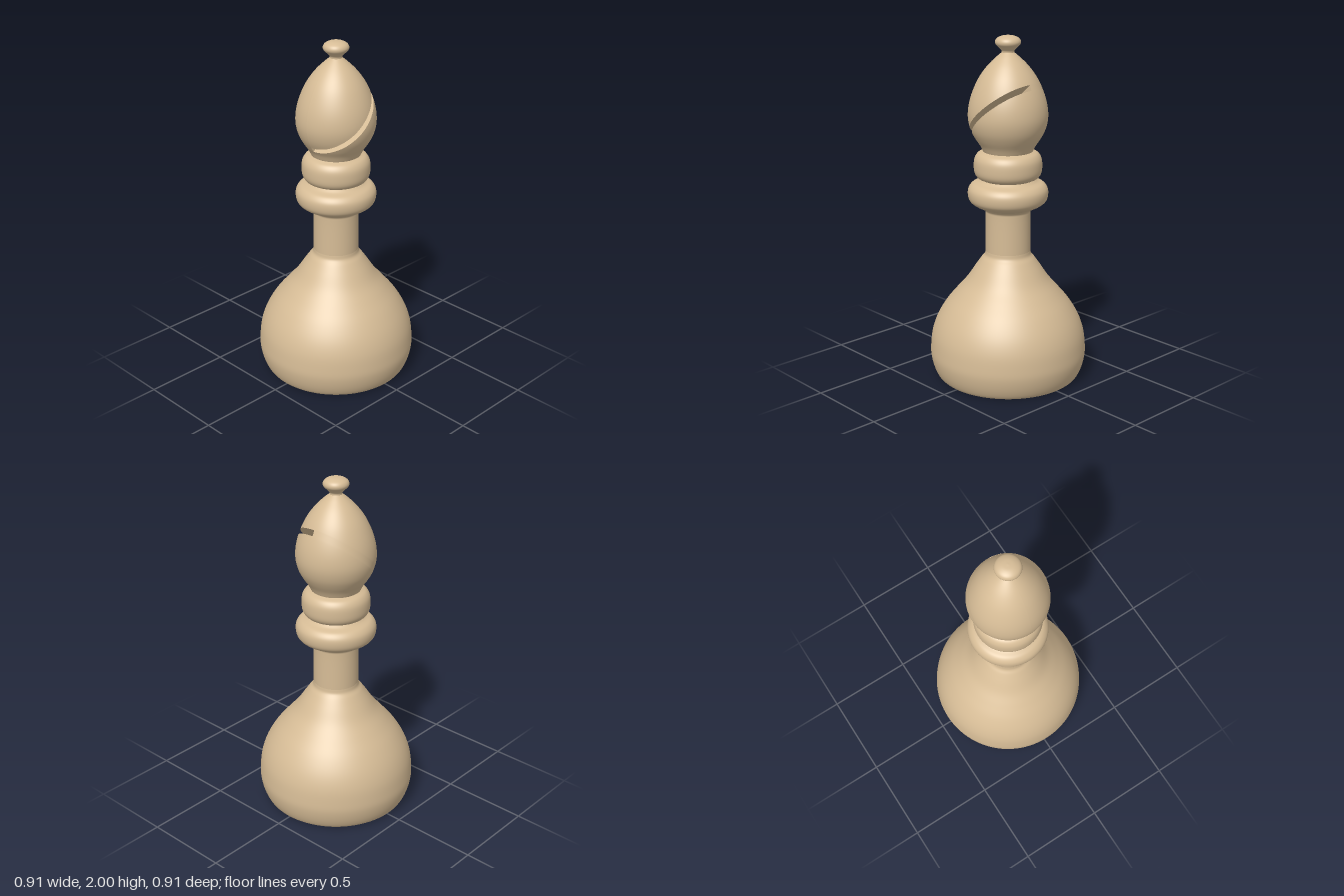
import * as THREE from 'three';

const SEG = 96;
const COLOR = 0xd6bc96;

// Smooth curve through [radius, height] pairs
function profile(pairs, count) {
  const curve = new THREE.CatmullRomCurve3(pairs.map(([r, y]) => new THREE.Vector3(r, y, 0)), false, 'centripetal');
  return curve.getPoints(count).map((p) => new THREE.Vector2(Math.max(p.x, 0), p.y));
}

// Surface through rows of points, rows running upwards, columns turning anticlockwise
function skin(rows, skipQuad = () => false) {
  const cols = rows[0].length;
  const index = [];
  for (let i = 0; i < rows.length - 1; i++) {
    for (let j = 0; j < cols - 1; j++) {
      if (skipQuad(i, j)) continue;
      const a = i * cols + j, d = a + cols;
      index.push(a, a + 1, d + 1, a, d + 1, d);
    }
  }
  const geometry = new THREE.BufferGeometry().setFromPoints(rows.flat());
  geometry.setIndex(index);
  geometry.computeVertexNormals();
  return geometry;
}

export function createModel() {
  const group = new THREE.Group();
  const material = new THREE.MeshStandardMaterial({ color: COLOR });
  const add = (name, geometry, mat = material) => {
    const mesh = new THREE.Mesh(geometry, mat);
    mesh.name = name;
    group.add(mesh);
    return mesh;
  };
  const turned = (name, pairs, count) => add(name, new THREE.LatheGeometry(profile(pairs, count), SEG));

  // Bulbous foot with a flat underside
  turned('base', [[0.405, 0], [0.418, 0.012], [0.44, 0.06], [0.455, 0.13], [0.454, 0.19], [0.443, 0.27], [0.415, 0.35],
    [0.365, 0.435], [0.3, 0.515], [0.24, 0.585], [0.19, 0.66], [0.155, 0.71], [0.135, 0.735], [0.13, 0.76]], 64);
  add('underside', new THREE.CircleGeometry(0.405, SEG)).rotation.x = Math.PI / 2;

  // Shaft and the two rounded rings above it
  turned('shaft', [[0.13, 0.76], [0.13, 0.98], [0.132, 1.0], [0.145, 1.015]], 16);
  turned('lowerCollar', [[0.145, 1.015], [0.19, 1.035], [0.22, 1.06], [0.23, 1.095], [0.226, 1.13], [0.205, 1.157],
    [0.17, 1.172], [0.152, 1.185]], 40);
  turned('upperCollar', [[0.152, 1.185], [0.175, 1.197], [0.19, 1.22], [0.195, 1.26], [0.19, 1.305], [0.172, 1.333],
    [0.142, 1.348]], 40);

  // Head outline, looked up by height
  const outline = profile([[0.142, 1.348], [0.158, 1.38], [0.185, 1.42], [0.21, 1.468], [0.225, 1.53], [0.223, 1.595],
    [0.205, 1.67], [0.165, 1.76], [0.115, 1.83], [0.065, 1.88], [0.035, 1.905]], 200);
  const radiusAt = (y) => {
    const k = Math.max(1, outline.findIndex((p) => p.y >= y));
    const a = outline[k - 1], b = outline[k];
    return a.x + (b.x - a.x) * (y - a.y) / (b.y - a.y);
  };
  const bottom = outline[0].y, top = outline[200].y;

  // Height where a plane sloping down to the front meets the head at a given angle
  const slope = 0.86, slotY = 1.573, halfSlot = 0.021;
  const planeHeight = (angle, offset) => {
    let lo = bottom, hi = top;
    for (let n = 0; n < 30; n++) {
      const y = (lo + hi) / 2;
      if (y + slope * radiusAt(y) * Math.cos(angle) < slotY + offset) lo = y; else hi = y;
    }
    return (lo + hi) / 2;
  };

  // Head rows bend to follow the slot edges; the slot band is open on the +x half
  const LOW = 24, HIGH = 28;
  const rows = Array.from({ length: LOW + HIGH + 2 }, () => []);
  for (let j = 0; j <= SEG; j++) {
    const angle = (j / SEG) * Math.PI * 2;
    const yl = planeHeight(angle, -halfSlot), yu = planeHeight(angle, halfSlot);
    rows.forEach((row, i) => {
      const y = i <= LOW ? bottom + (yl - bottom) * i / LOW : yu + (top - yu) * (i - LOW - 1) / HIGH;
      const r = radiusAt(y);
      row.push(new THREE.Vector3(r * Math.sin(angle), y, r * Math.cos(angle)));
    });
  }
  add('head', skin(rows, (i, j) => i === LOW && j < SEG / 2));

  // Slot floor, end wall and ceiling
  const lower = rows[LOW].slice(0, SEG / 2 + 1), upper = rows[LOW + 1].slice(0, SEG / 2 + 1);
  const inward = (edge) => edge.map((p) => new THREE.Vector3(0, p.y, p.z));
  const slot = skin([lower, inward(lower), inward(upper), upper]).toNonIndexed();
  slot.computeVertexNormals();
  add('slot', slot);

  // Small knob on top
  turned('finial', [[0.035, 1.905], [0.036, 1.915], [0.052, 1.933], [0.069, 1.95], [0.072, 1.965], [0.063, 1.982],
    [0.035, 1.996], [0, 2]], 32);

  return group;
}
